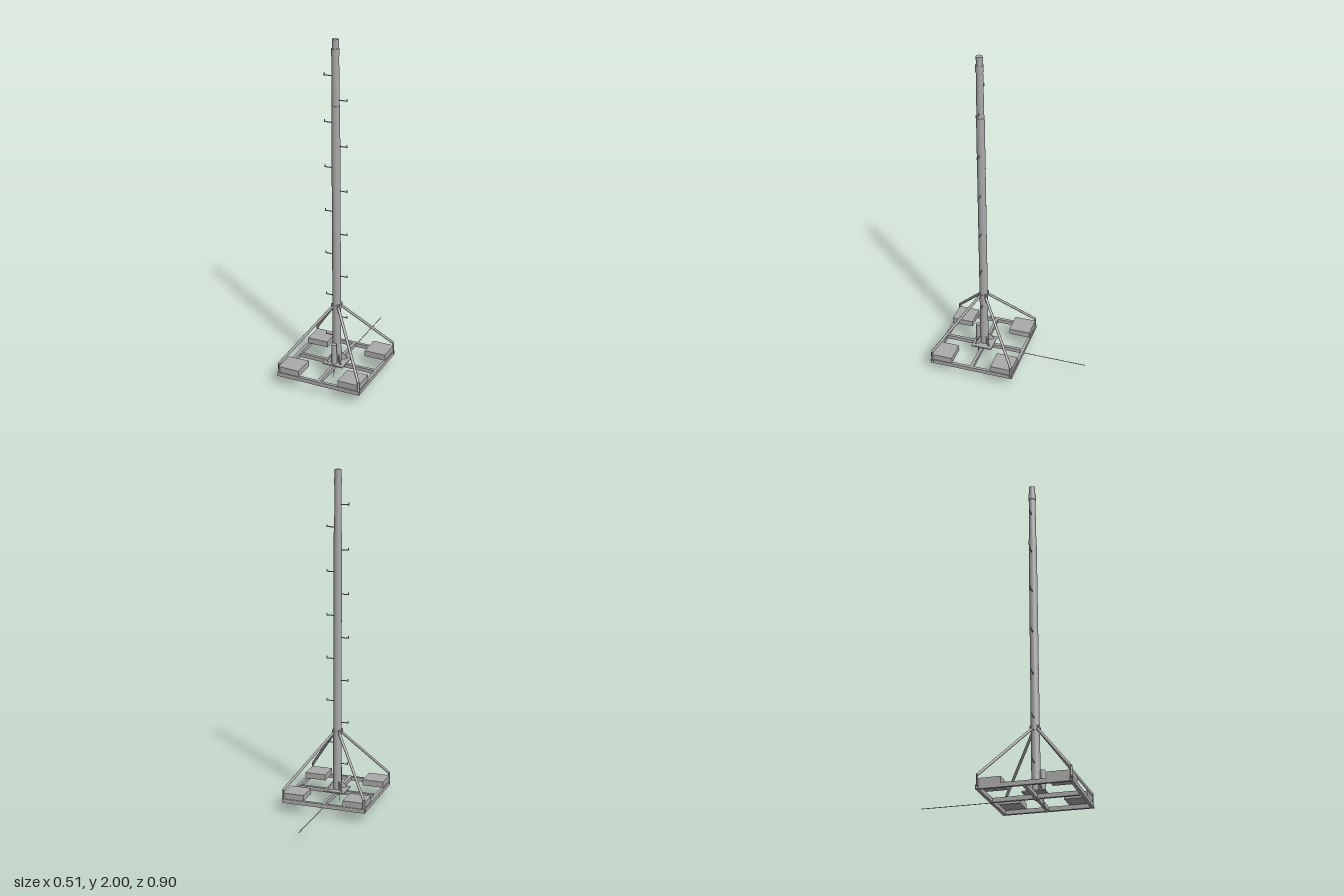
import * as THREE from 'three';

export function createModel() {
  const model = new THREE.Group();
  const steel = new THREE.MeshStandardMaterial({ color: 0xaaaaaa });
  steel.name = 'galvanised grey';
  steel.side = THREE.DoubleSide;
  const CZ = 0.193; // mast axis
  const HALF = 0.257; // half width of the square base

  const base = new THREE.Group();
  base.name = 'base';
  base.position.z = CZ;
  model.add(base);

  function add(name, geometry, x = 0, y = 0, z = 0, parent = base) {
    const mesh = new THREE.Mesh(geometry, steel);
    mesh.name = name;
    mesh.position.set(x, y, z);
    parent.add(mesh);
    return mesh;
  }
  const box = (name, w, h, d, x, y, z) => add(name, new THREE.BoxGeometry(w, h, d), x, y, z);

  // round bar between two points
  function bar(name, a, b, r, sides = 12) {
    const from = new THREE.Vector3(...a), to = new THREE.Vector3(...b);
    const dir = to.clone().sub(from);
    const mesh = add(name, new THREE.CylinderGeometry(r, r, dir.length(), sides));
    mesh.position.copy(from).lerp(to, 0.5);
    mesh.quaternion.setFromUnitVectors(new THREE.Vector3(0, 1, 0), dir.normalize());
    return mesh;
  }

  // hollow square tube along x or z
  const W = 0.018, H = 0.024;
  function tubeBeam(name, length, x, z, alongX) {
    const s = new THREE.Shape();
    s.moveTo(-W / 2, -H / 2).lineTo(W / 2, -H / 2).lineTo(W / 2, H / 2).lineTo(-W / 2, H / 2).closePath();
    const hole = new THREE.Path(), w = W / 2 - 0.002, h = H / 2 - 0.002;
    hole.moveTo(-w, -h).lineTo(-w, h).lineTo(w, h).lineTo(w, -h).closePath();
    s.holes.push(hole);
    const g = new THREE.ExtrudeGeometry(s, { depth: length, bevelEnabled: false });
    g.translate(0, 0, -length / 2);
    if (alongX) g.rotateY(Math.PI / 2);
    add(name, g, x, 0.06 + H / 2, z);
  }

  // square frame with a central cross
  const edge = HALF - W / 2, inner = 2 * HALF - 2 * W;
  for (const s of [-1, 1]) {
    tubeBeam('crossBeam', 2 * HALF, 0, s * edge, true);
    tubeBeam('sideBeam', inner, s * edge, 0, false);
    tubeBeam('centreSpoke', inner / 2 - W / 2, 0, s * (inner / 4 + W / 4), false);
  }
  tubeBeam('centreBeam', inner, 0, 0, true);
  box('basePlate', 0.128, 0.007, 0.128, 0, 0.0875, 0);
  box('lowerFixing', 0.02, 0.007, 0.02, 0, 0.0565, 0);

  // ballast, corner posts, diagonal braces and foot gussets
  const gusset = new THREE.Shape();
  gusset.moveTo(0.018, 0.09).lineTo(0.063, 0.09).lineTo(0.063, 0.097).lineTo(0.028, 0.142).lineTo(0.018, 0.142).closePath();
  const gussetGeometry = new THREE.ExtrudeGeometry(gusset, { depth: 0.005, bevelEnabled: false });
  gussetGeometry.translate(0, 0, -0.0025);
  for (const sx of [-1, 1]) for (const sz of [-1, 1]) {
    box('ballastBlock', 0.13, 0.036, 0.13, sx * 0.187, 0.102, sz * 0.187);
    const post = box('cornerPost', 0.014, 0.06, 0.005, sx * 0.25, 0.113, sz * 0.25);
    post.rotation.y = Math.atan2(sx, sz);
    bar('brace', [sx * 0.25, 0.137, sz * 0.25], [sx * 0.018, 0.447, sz * 0.018], 0.008);
    const lug = box('braceLug', 0.01, 0.032, 0.016, sx * 0.018, 0.45, sz * 0.018);
    lug.rotation.y = Math.atan2(sx, sz);
    add('gusset', gussetGeometry).rotation.y = Math.atan2(-sz, sx);
  }

  // tapered mast in three telescoping sections
  const section = (name, rTop, rBottom, y0, y1) =>
    add(name, new THREE.CylinderGeometry(rTop, rBottom, y1 - y0, 32), 0, (y0 + y1) / 2, 0);
  section('lowerMast', 0.0235, 0.025, 0.09, 1.64);
  section('upperMast', 0.0195, 0.0215, 1.63, 1.915);
  section('topCollar', 0.0225, 0.0225, 1.91, 1.95);
  section('mastTip', 0.0185, 0.0185, 1.94, 2);
  section('braceCollar', 0.027, 0.027, 0.44, 0.46);

  // climbing pegs alternate sides, with upturned ends
  for (let i = 0; i < 13; i++) {
    const s = i % 2 ? 1 : -1, y = 0.253 + i * 0.129;
    bar('climbingPeg', [s * 0.018, y, 0], [s * 0.066, y, 0], 0.003, 8);
    bar('pegTip', [s * 0.066, y - 0.003, 0], [s * 0.066, y + 0.012, 0], 0.003, 8);
  }

  // earthing post, ground spike and trailing wire
  add('earthPost', new THREE.CylinderGeometry(0.015, 0.015, 0.125, 24), 0, 0.1525, 0.038);
  bar('groundSpike', [0, 0.09, 0.038], [-0.002, 0, 0.043], 0.0025, 8);
  bar('groundWire', [0, 0.059, 0.04], [0, 0.059, -0.45 - CZ], 0.002, 8);

  return model;
}
